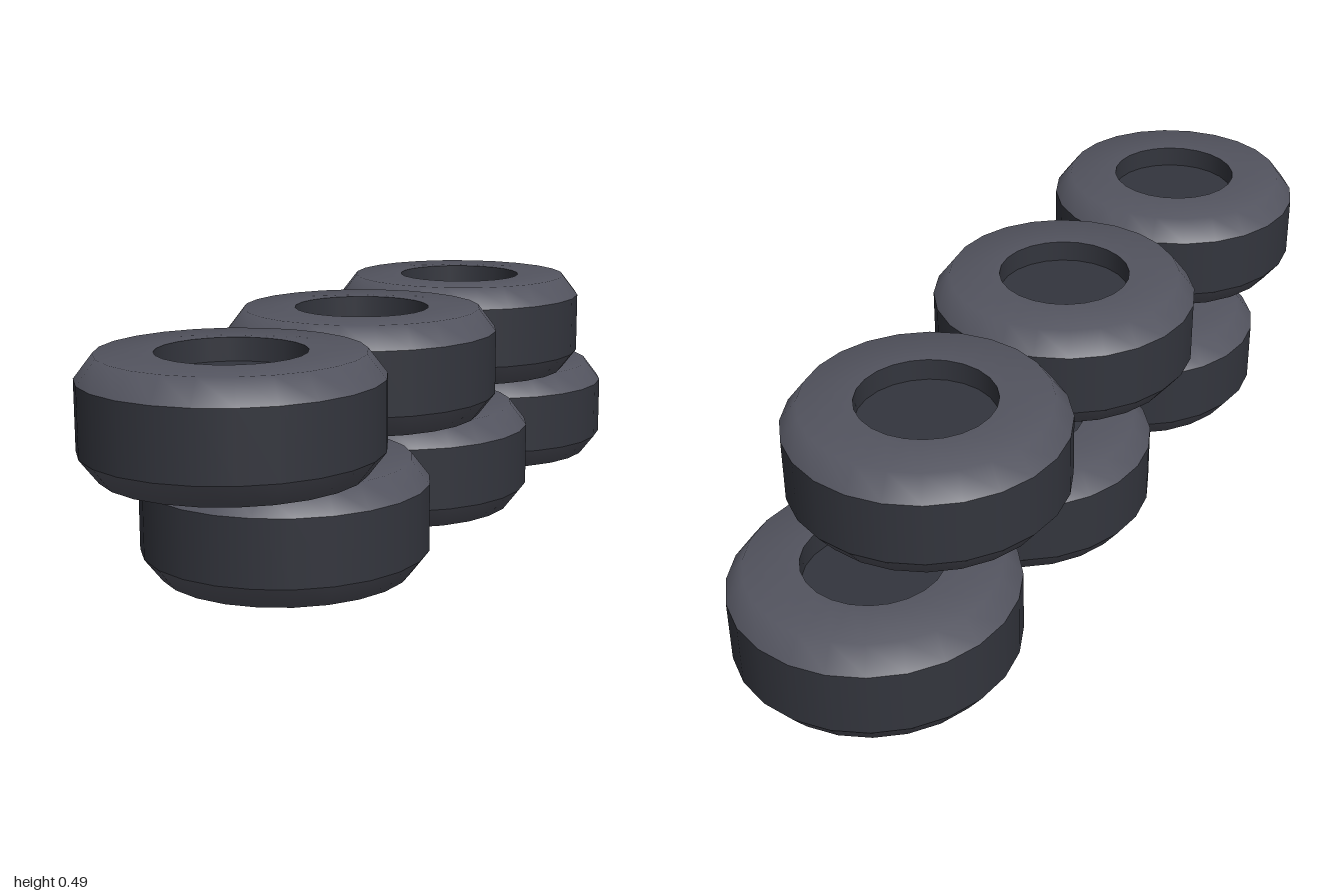
import * as THREE from 'three';

const SEGMENTS = 24;
const R = 0.297;        // tread radius
const RIM = 0.26;       // where the shoulder meets the flat side
const HOLE = 0.147;     // centre opening
const H = 0.235;        // tyre thickness
const SHOULDER = 0.048; // height of the bevelled shoulder

const rubber = new THREE.MeshStandardMaterial({ color: 0x33353d });
const wall = new THREE.MeshStandardMaterial({ color: 0x53545f });

// Separate lathes keep the edges between parts sharp
function lathe(name, profile, material) {
  const points = profile.map(([x, y]) => new THREE.Vector2(x, y));
  const mesh = new THREE.Mesh(new THREE.LatheGeometry(points, SEGMENTS), material);
  mesh.name = name;
  return mesh;
}

function createTyre() {
  const tyre = new THREE.Group();
  const top = H - SHOULDER;
  tyre.add(
    lathe('tread', [[R, SHOULDER], [R, top]], rubber),
    // Bevelled sidewalls
    lathe('upperSidewall', [[R, top], [RIM, H], [HOLE, H]], wall),
    lathe('lowerSidewall', [[HOLE, 0], [RIM, 0], [R, SHOULDER]], wall),
    // Recessed centre, closed by a disc on each side
    lathe('upperWell', [[HOLE, H], [HOLE, top]], rubber),
    lathe('upperDisc', [[HOLE, top], [0, top]], rubber),
    lathe('lowerDisc', [[0, SHOULDER], [HOLE, SHOULDER]], rubber),
    lathe('lowerWell', [[HOLE, SHOULDER], [HOLE, 0]], rubber),
  );
  return tyre;
}

export function createModel() {
  const model = new THREE.Group();
  model.name = 'tyreBarrier';

  // Two staggered rows of three tyres
  const rows = [
    { name: 'lowerTyre', y: 0, z: -0.703 },
    { name: 'upperTyre', y: 0.254, z: -0.487 },
  ];
  for (const row of rows) {
    for (let i = 0; i < 3; i++) {
      const tyre = createTyre();
      tyre.name = row.name + (i + 1);
      tyre.position.set(0, row.y, row.z + i * 0.595);
      model.add(tyre);
    }
  }
  return model;
}
